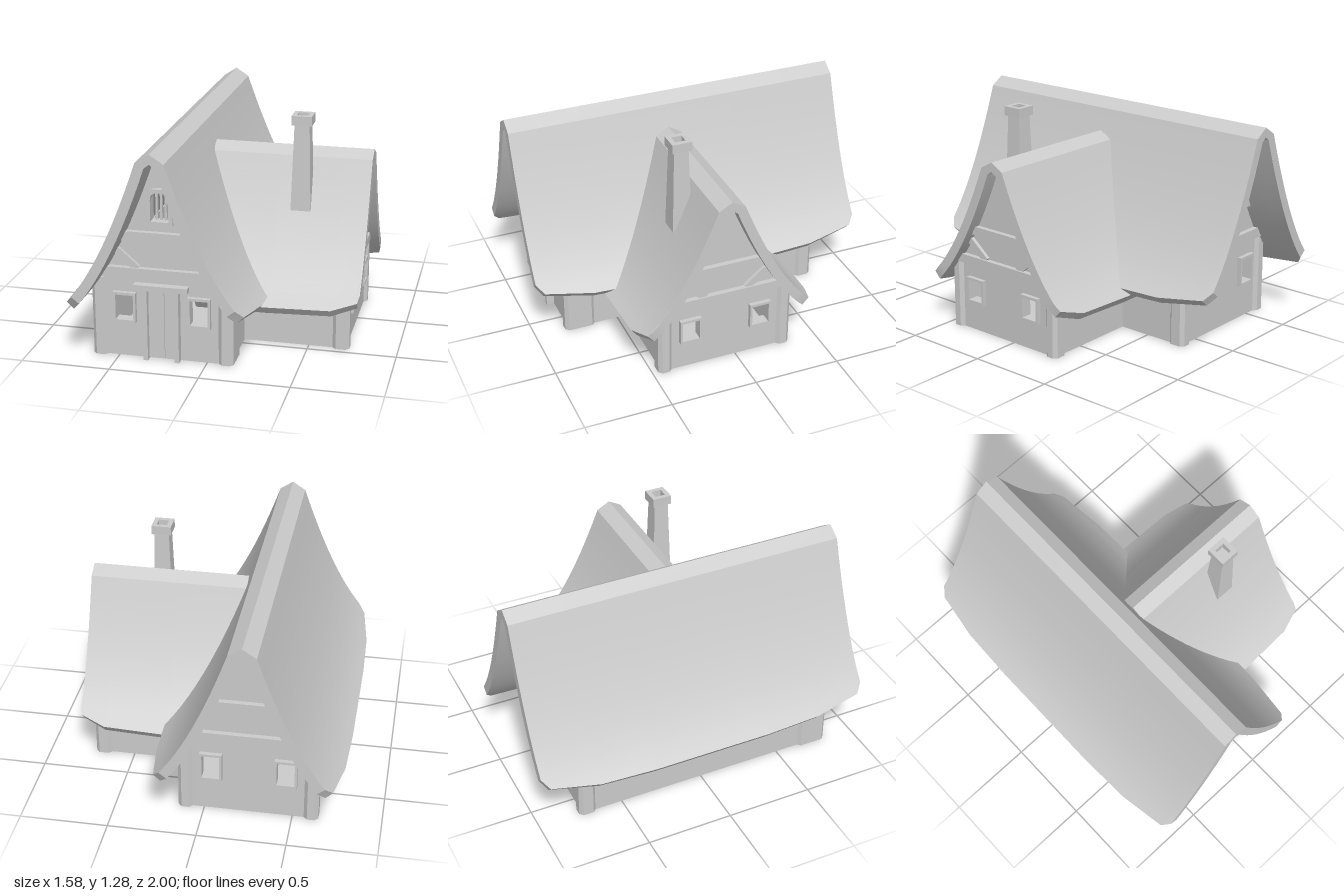
import * as THREE from 'three';
import { toCreasedNormals } from 'three/addons/utils/BufferGeometryUtils.js';

const material = new THREE.MeshStandardMaterial({ color: 0xcccccc, side: THREE.DoubleSide });
const MAIN = { top: 1.23, k: 1 };
const WING = { top: 1.06, k: 0.855 };

function add(parent, name, geometry, x = 0, y = 0, z = 0) {
  const mesh = new THREE.Mesh(geometry, material);
  mesh.name = name;
  mesh.position.set(x, y, z);
  parent.add(mesh);
  return mesh;
}

// box given by its extents
function box(parent, name, x0, x1, y0, y1, z0, z1) {
  return add(parent, name, new THREE.BoxGeometry(x1 - x0, y1 - y0, z1 - z0),
    (x0 + x1) / 2, (y0 + y1) / 2, (z0 + z1) / 2);
}

const polygon = (pts) => new THREE.Shape(pts.map(([x, y]) => new THREE.Vector2(x, y)));
const rect = (x, y, w, h) => polygon([[x - w / 2, y - h / 2], [x + w / 2, y - h / 2], [x + w / 2, y + h / 2], [x - w / 2, y + h / 2]]);
const extrude = (shape, depth) => new THREE.ExtrudeGeometry(shape, { depth, bevelEnabled: false, curveSegments: 5 });

// opening with rounded upper corners
function arch(half, y0, y1, r) {
  const s = new THREE.Shape();
  s.moveTo(-half, y0);
  s.lineTo(half, y0);
  s.lineTo(half, y1 - r);
  s.quadraticCurveTo(half, y1, half - r, y1);
  s.lineTo(r - half, y1);
  s.quadraticCurveTo(-half, y1, -half, y1 - r);
  s.closePath();
  return s;
}

// height of the swept roof line at distance u from the ridge
function roofHeight(u, p) {
  const y = u < 0.077 ? 1.23 - 0.65 * u
    : 1.18 - 2.463 * (u - 0.077) + 2.246 * (u - 0.077) * (u - 0.28);
  return p.top - p.k * (1.23 - y);
}

// right half of the roof line out to width w, sunk by t along its normal
function roofLine(w, p, t) {
  const us = [0, 0.077];
  for (let i = 1; i <= 12; i++) us.push(0.077 + (w - 0.077) * i / 12);
  const e = 0.004;
  return us.map((u) => {
    const y = roofHeight(u, p);
    if (u === 0) return [0, y - t];
    const slope = (roofHeight(u + e, p) - roofHeight(u - e, p)) / (2 * e);
    const len = Math.hypot(1, slope);
    return [u + t * slope / len, y - t / len];
  });
}

const mirrored = (half) => [...half.slice(1).reverse().map(([x, y]) => [-x, y]), ...half];

// thick thatch lofted through stations [z, half width]
function roof(stations, p) {
  const pos = [], index = [];
  let n = 0;
  for (const [z, w] of stations) {
    const outer = mirrored(roofLine(w, p, 0));
    const inner = mirrored(roofLine(w, p, 0.055)).reverse();
    n = outer.length;
    for (const [x, y] of [...outer, ...inner]) pos.push(x, y, z);
  }
  const m = 2 * n;
  for (let i = 0; i < stations.length - 1; i++) {
    for (let j = 0; j < m; j++) {
      const a = i * m + j, b = i * m + (j + 1) % m;
      index.push(a, a + m, b + m, a, b + m, b);
    }
  }
  const last = (stations.length - 1) * m;
  for (let j = 0; j < n - 1; j++) {
    const o = j, o1 = j + 1, q = m - 1 - j, q1 = m - 2 - j;
    index.push(last + o, last + q, last + q1, last + o, last + q1, last + o1);
    index.push(o, q1, q, o, o1, q1);
  }
  const g = new THREE.BufferGeometry();
  g.setAttribute('position', new THREE.Float32BufferAttribute(pos, 3));
  g.setIndex(index);
  return toCreasedNormals(g, 0.4);
}

// upright post with chamfered corners
function post(parent, x, z0, z1, w, h) {
  const a = w / 2, d = (z1 - z0) / 2, c = 0.02;
  const g = extrude(polygon([[-a + c, -d], [a - c, -d], [a, -d + c], [a, d - c], [a - c, d], [-a + c, d], [-a, d - c], [-a, -d + c]]), h);
  g.rotateX(-Math.PI / 2);
  add(parent, 'cornerPost', g, x, 0, (z0 + z1) / 2);
}

// gable end: wall with window openings, window frames and timbers
function gable(parent, name, p, o) {
  const group = new THREE.Group();
  group.name = name;
  parent.add(group);
  const line = mirrored(roofLine(0.405, p, 0.03)).filter(([x]) => Math.abs(x) < 0.38);
  const wall = polygon([[-0.38, 0], [-0.38, o.side], ...line, [0.38, o.side], [0.38, 0]]);
  for (const x of [-0.21, 0.21]) {
    wall.holes.push(rect(x, o.winY, 0.1, o.winH - 0.03));
    const frame = rect(x, o.winY, 0.127, o.winH);
    frame.holes.push(rect(x, o.winY, 0.1, o.winH - 0.03));
    add(group, 'windowFrame', extrude(frame, 0.03), 0, 0, -0.005);
  }
  if (o.attic) wall.holes.push(arch(0.05, 0.805, 0.965, 0.04));
  add(group, 'gableWall', extrude(wall, 0.04), 0, 0, -0.04);
  for (const [half, y0, y1] of o.beams) box(group, 'crossBeam', -half, half, y0, y1, -0.01, 0.03);
  for (const s of o.braces) {
    const [x0, y0, x1, y1] = o.brace;
    const beam = add(group, 'brace', new THREE.BoxGeometry(Math.hypot(x1 - x0, y1 - y0) + 0.02, 0.04, 0.03),
      s * (x0 + x1) / 2, (y0 + y1) / 2, 0.005);
    beam.rotation.z = s * Math.atan2(y1 - y0, x1 - x0);
  }
  return group;
}

export function createModel() {
  const model = new THREE.Group();
  model.name = 'cottage';

  // main house, ridge running front to back
  const main = new THREE.Group();
  main.name = 'mainHouse';
  main.position.x = -0.25;
  model.add(main);
  add(main, 'mainRoof', roof([[-1, 0.45], [-0.96, 0.49], [-0.68, 0.53], [-0.35, 0.54], [0.35, 0.54], [0.68, 0.53], [0.96, 0.49], [1, 0.45]], MAIN));
  box(main, 'floor', -0.38, 0.38, 0, 0.012, -0.74, 0.8);
  for (const s of [-1, 1]) {
    box(main, 'sideWall', s * 0.36 - 0.02, s * 0.36 + 0.02, 0, 0.45, -0.735, 0.795);
    post(main, s * 0.356, 0.64, 0.82, 0.083, 0.46);
    post(main, s * 0.356, -0.76, -0.66, 0.083, 0.46);
  }
  const mainGable = { side: 0.45, winY: 0.293, winH: 0.175, beams: [[0.34, 0.47, 0.53], [0.235, 0.685, 0.74]], brace: [0.14, 0.53, 0.26, 0.635] };
  const front = gable(main, 'frontGable', MAIN, { ...mainGable, braces: [-1], attic: true });
  front.position.z = 0.8;
  const back = gable(main, 'backGable', MAIN, { ...mainGable, braces: [] });
  back.position.z = -0.74;
  back.rotation.y = Math.PI;

  // attic window with bars and an open shutter
  const atticFrame = arch(0.073, 0.785, 0.987, 0.055);
  atticFrame.holes.push(arch(0.05, 0.805, 0.965, 0.04));
  add(front, 'atticWindowFrame', extrude(atticFrame, 0.04), 0, 0, -0.01);
  for (const x of [-0.025, 0, 0.025]) box(front, 'windowBar', x - 0.006, x + 0.006, 0.8, 0.965, -0.025, -0.01);
  box(front, 'shutter', 0.073, 0.125, 0.785, 0.91, -0.01, 0.015);

  // door with jambs, batten and lintel
  box(front, 'door', -0.085, 0.085, 0.012, 0.41, -0.01, 0.012);
  box(front, 'doorBatten', -0.015, 0.015, 0.012, 0.41, 0, 0.022);
  for (const s of [-1, 1]) box(front, 'doorJamb', s * 0.088 - 0.013, s * 0.088 + 0.013, 0, 0.41, -0.01, 0.045);
  box(front, 'doorLintel', -0.152, 0.152, 0.41, 0.44, -0.01, 0.045);

  // side wing, built facing +z and turned to face +x
  const wing = new THREE.Group();
  wing.name = 'sideWing';
  wing.position.z = 0.067;
  wing.rotation.y = Math.PI / 2;
  model.add(wing);
  add(wing, 'wingRoof', roof([[-0.12, 0.54], [0.28, 0.54], [0.64, 0.53], [0.78, 0.485], [0.79, 0.45]], WING));
  box(wing, 'floor', -0.38, 0.38, 0, 0.01, 0.1, 0.71);
  for (const s of [-1, 1]) {
    box(wing, 'sideWall', s * 0.36 - 0.02, s * 0.36 + 0.02, 0, 0.39, 0.11, 0.705);
    post(wing, s * 0.36, 0.635, 0.73, 0.08, 0.4);
  }
  const end = gable(wing, 'wingGable', WING, {
    side: 0.39, winY: 0.246, winH: 0.15, beams: [[0.355, 0.405, 0.455], [0.25, 0.59, 0.64]],
    brace: [0.13, 0.455, 0.255, 0.555], braces: [-1, 1],
  });
  end.position.z = 0.71;

  // tapered chimney with an open cap
  const chimney = new THREE.Group();
  chimney.name = 'chimney';
  chimney.position.set(0.41, 0, 0.22);
  model.add(chimney);
  const shaft = new THREE.CylinderGeometry(0.042 * Math.SQRT2, 0.057 * Math.SQRT2, 0.5, 4, 1, true);
  shaft.rotateY(Math.PI / 4);
  add(chimney, 'chimneyShaft', toCreasedNormals(shaft, 0.4), 0, 0.985, 0);
  const cap = rect(0, 0, 0.114, 0.114);
  cap.holes.push(rect(0, 0, 0.06, 0.06));
  const capGeometry = extrude(cap, 0.053);
  capGeometry.rotateX(-Math.PI / 2);
  add(chimney, 'chimneyCap', capGeometry, 0, 1.227, 0);
  box(chimney, 'flueBottom', -0.04, 0.04, 1.2, 1.225, -0.04, 0.04);

  return model;
}
